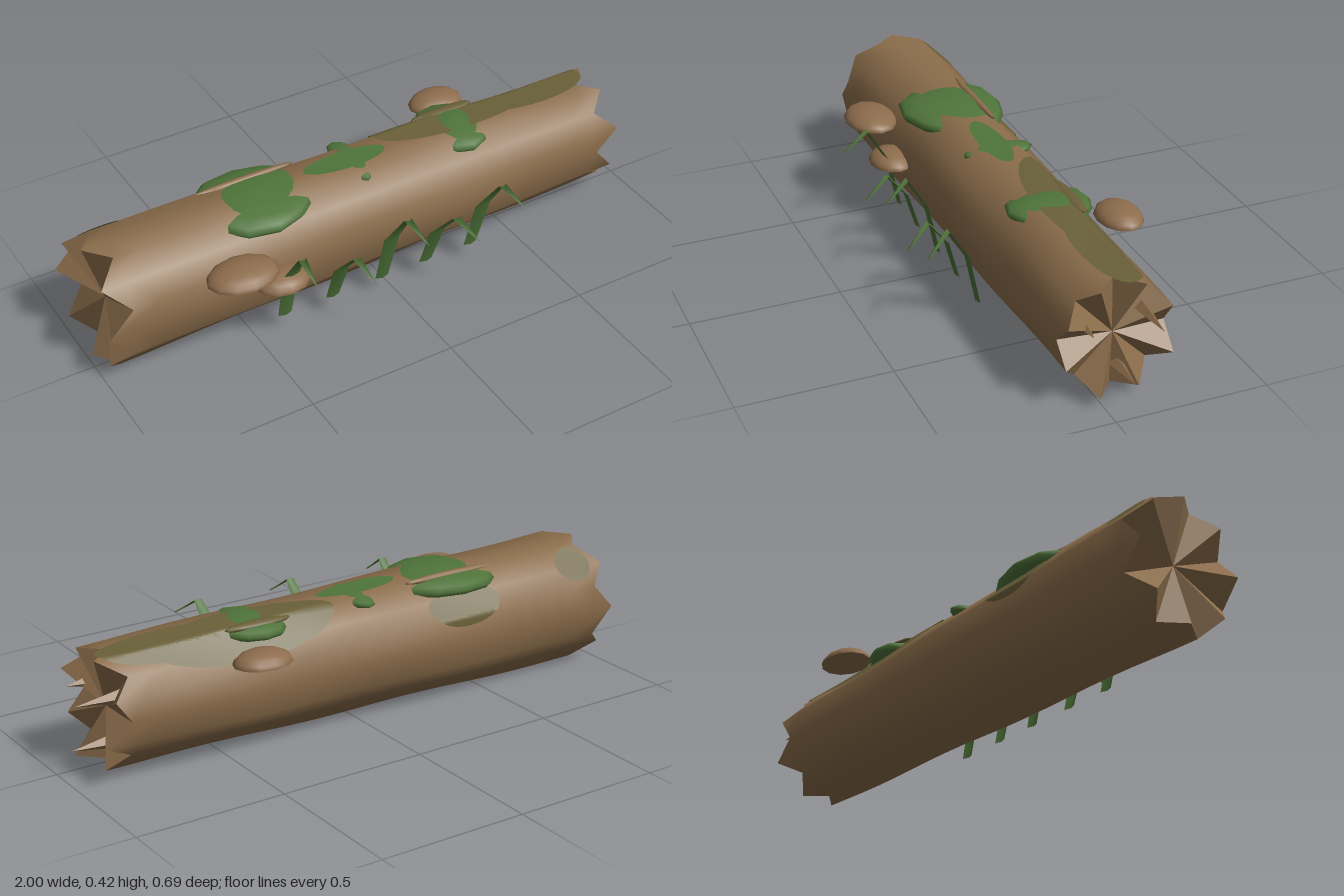
import * as THREE from 'three';

const mat = (name, color, side = THREE.FrontSide) => {
  const m = new THREE.MeshStandardMaterial({ color, side });
  m.name = name;
  return m;
};
const { PI, sin, cos, round } = Math;
const rad = (d) => d * PI / 180;
const N = 16; // corners and edge middles of the octagonal trunk

// Point on the trunk: x along it, a = angle from the front (+z) towards the top
function trunkPoint(x, a, lift = 0) {
  const t = (x + 1) / 1.9;
  const r = 1 / cos(a - round(a / (PI / 4)) * PI / 4);
  const wob = 0.003 * sin(8 * x + 3 * a);
  const h = 0.209 - 0.031 * t + wob + lift, w = 0.199 - 0.03 * t + wob + lift;
  return [x, 0.212 + 0.004 * t + h * r * sin(a), -0.053 + w * r * cos(a)];
}

function geometry(pos, index) {
  const g = new THREE.BufferGeometry();
  g.setAttribute('position', new THREE.Float32BufferAttribute(pos, 3));
  if (index) g.setIndex(index);
  g.computeVertexNormals();
  return g;
}

// Jagged end positions: left points out at edge middles, right at corners
const angleAt = (k) => (k + 1) * PI / 8;
const leftX = (k) => (k % 2 ? -0.99 + 0.01 * sin(k * 2.5) : -0.91 + 0.012 * sin(k * 3));
const rightX = (k) => (k % 2 ? 0.84 + 0.008 * sin(k * 2) : 0.912 + 0.015 * sin(k * 1.7));

function barkGeometry() {
  const pos = [], index = [], rings = 20;
  for (let i = 0; i <= rings; i++) {
    for (let k = 0; k < N; k++) {
      const x = THREE.MathUtils.lerp(leftX(k), rightX(k), i / rings);
      pos.push(...trunkPoint(x, angleAt(k)));
      if (i === rings) continue;
      const a = i * N + k, b = i * N + (k + 1) % N;
      index.push(a, a + N, b + N, a, b + N, b);
    }
  }
  return geometry(pos, index);
}

// Faceted fan from a sunken centre to the jagged rim
function endGeometry(rim, centreX, flip) {
  const pos = [];
  for (let k = 0; k < N; k++) {
    const j = (k + 1) % N;
    const p = trunkPoint(rim(k), angleAt(k)), q = trunkPoint(rim(j), angleAt(j));
    pos.push(centreX, 0.214, -0.053, ...(flip ? p : q), ...(flip ? q : p));
  }
  return geometry(pos);
}

// Thin patch hugging the bark
function patchGeometry(x, deg, rx, spread, lift) {
  const g = new THREE.RingGeometry(0.001, 1, 40, 10);
  const p = g.attributes.position;
  for (let i = 0; i < p.count; i++) {
    p.setXYZ(i, ...trunkPoint(x + rx * p.getX(i), rad(deg + spread * p.getY(i)), lift));
  }
  g.computeVertexNormals();
  return g;
}

// Flattened, slightly uneven cushion
function cushionGeometry(sx, sy, sz) {
  const g = new THREE.SphereGeometry(1, 12, 8);
  const p = g.attributes.position;
  for (let i = 0; i < p.count; i++) {
    const s = 1 + 0.05 * sin(4 * p.getX(i) + 3 * p.getZ(i));
    p.setXYZ(i, p.getX(i) * sx * s, p.getY(i) * sy, p.getZ(i) * sz * s);
  }
  g.computeVertexNormals();
  return g;
}

// Bent blade: rises, leans out and droops to a point
function bladeGeometry(x, top, lean) {
  const mid = 0.06 + (top - 0.06) * 0.62;
  const steps = [
    [x, 0.06, 0.145, 0.024], [x + lean * 0.2, mid, 0.188, 0.029],
    [x + lean * 0.5, top, 0.257, 0.014], [x + lean, top - 0.06, 0.335, 0.001],
  ];
  const pos = [], index = [];
  steps.forEach(([cx, y, z, w], i) => {
    pos.push(cx - w, y, z, cx, y, z + 0.008, cx + w, y, z);
    if (i === 3) return;
    for (const a of [i * 3, i * 3 + 1]) index.push(a, a + 1, a + 4, a, a + 4, a + 3);
  });
  return geometry(pos, index);
}

export function createModel() {
  const group = new THREE.Group();
  const bark = mat('bark brown', 0x8a6c4a);
  const cap = mat('fungus brown', 0x8d6c4c);
  const moss = mat('moss green', 0x4f743a);
  const grass = mat('grass green', 0x4d7238, THREE.DoubleSide);
  const olive = mat('olive stain', 0x6a6039, THREE.DoubleSide);
  const add = (name, geo, material, x = 0, y = 0, z = 0) => {
    const m = new THREE.Mesh(geo, material);
    m.name = name;
    m.position.set(x, y, z);
    group.add(m);
    return m;
  };

  // Fallen trunk with splintered ends
  add('trunk', barkGeometry(), bark);
  add('leftEnd', endGeometry(leftX, -0.92, true), bark);
  add('rightEnd', endGeometry(rightX, 0.85, false), bark);
  for (const [tip, y, z] of [[1, 0.275, -0.145], [0.93, 0.26, 0.045], [0.98, 0.1, -0.07]]) {
    const len = tip - 0.83;
    const geo = new THREE.ConeGeometry(0.026, len, 4).toNonIndexed();
    geo.computeVertexNormals();
    add('splinter', geo, bark, 0.83 + len / 2, y, z).rotation.z = -PI / 2;
  }

  // Stains on the bark
  for (const [x, deg, rx, spread] of [
    [0.41, 114, 0.33, 36], [0.68, 104, 0.22, 26], [-0.87, 132, 0.07, 18], [-0.39, 145, 0.14, 20],
  ]) add('stain', patchGeometry(x, deg, rx, spread, 0.004), olive);
  add('flatMoss', patchGeometry(-0.06, 91, 0.15, 14, 0.006), moss);

  // Moss cushions, with the trunk's edge showing through
  add('largeMoss', cushionGeometry(0.205, 0.042, 0.175), moss, -0.39, 0.381, -0.05);
  add('smallMoss', cushionGeometry(0.05, 0.022, 0.12), moss, -0.03, 0.389, -0.068);
  add('rightMoss', cushionGeometry(0.12, 0.034, 0.14), moss, 0.365, 0.378, -0.07);
  add('barkRidge', cushionGeometry(0.19, 0.012, 0.014), bark, -0.39, 0.412, -0.128);
  add('stainedRidge', cushionGeometry(0.12, 0.012, 0.025), olive, 0.365, 0.4, -0.138);

  // Bracket fungi: half domes with flat undersides
  for (const [x, y, z, rx, h, rz] of [
    [-0.56, 0.312, 0.185, 0.12, 0.042, 0.088],
    [-0.415, 0.217, 0.165, 0.093, 0.043, 0.075],
    [0.43, 0.333, -0.277, 0.099, 0.043, 0.074],
  ]) {
    const dome = new THREE.SphereGeometry(1, 12, 5, 0, 2 * PI, 0, PI / 2).scale(rx, h, rz);
    const under = new THREE.CircleGeometry(1, 12).rotateX(PI / 2).scale(rx, 1, rz);
    add('fungusCap', dome, cap, x, y, z);
    add('fungusUnderside', under, cap, x, y, z);
  }

  // Grass blades along the front
  for (const [x, top, lean] of [
    [-0.4, 0.357, 0.015], [-0.225, 0.28, 0.05], [-0.04, 0.357, 0.055],
    [0.128, 0.293, 0.082], [0.303, 0.355, 0.082],
  ]) add('grassBlade', bladeGeometry(x, top, lean), grass);

  return group;
}
